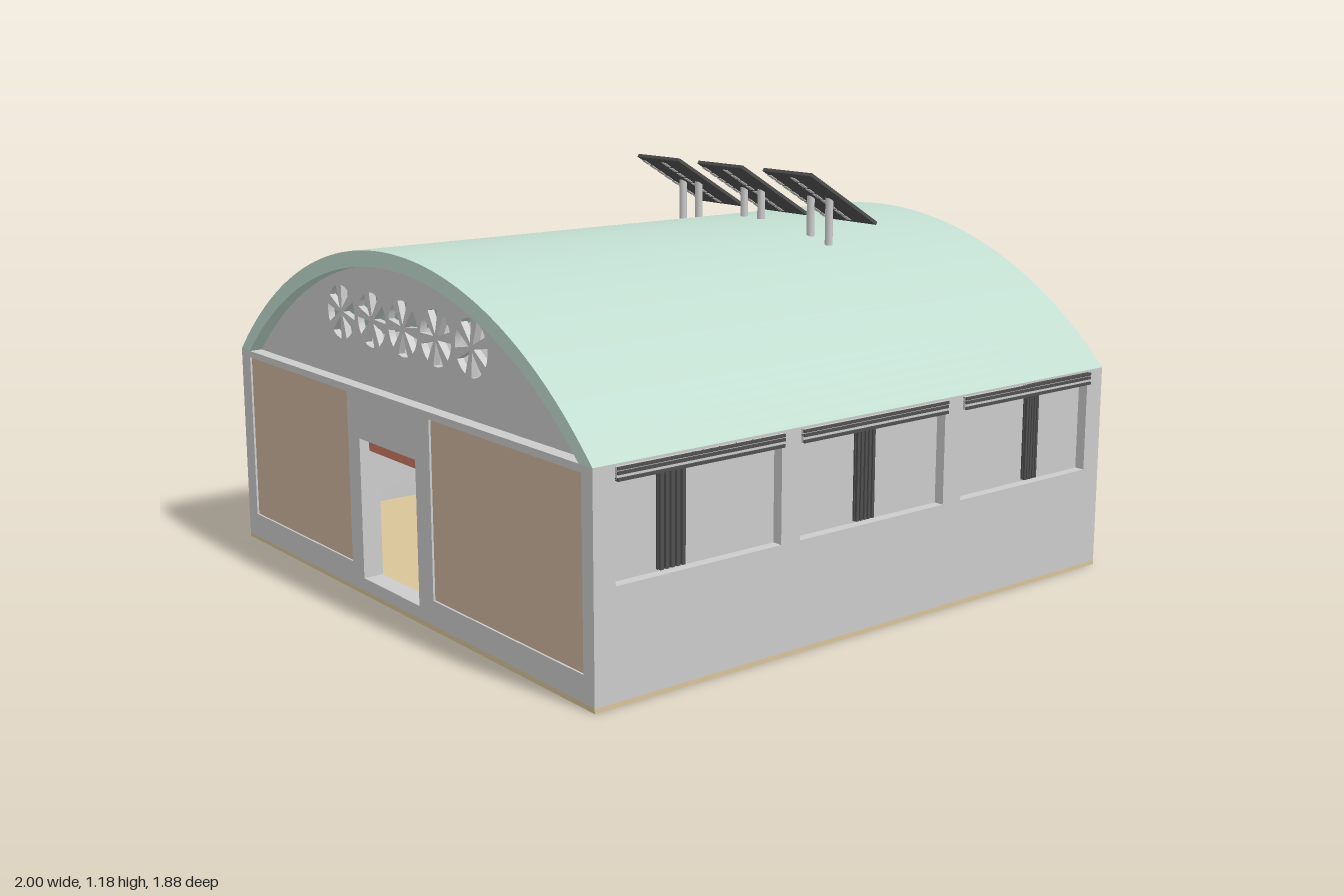
import * as THREE from 'three';
import { toCreasedNormals } from 'three/addons/utils/BufferGeometryUtils.js';

const mat = (color) => new THREE.MeshStandardMaterial({ color });
const grey = mat(0xcccccc), green = mat(0xc0dccf), tan = mat(0xd8c498);
const brown = mat(0xcdb59e), dark = mat(0x505050), red = mat(0xc87862);

const X0 = -1, X1 = 0.85, Z = 0.925, EAVE = 0.605, T = 0.045;

// box given by its min and max corners
function box(name, x0, x1, y0, y1, z0, z1, material = grey) {
  const m = new THREE.Mesh(new THREE.BoxGeometry(x1 - x0, y1 - y0, z1 - z0), material);
  m.position.set((x0 + x1) / 2, (y0 + y1) / 2, (z0 + z1) / 2);
  m.name = name;
  return m;
}

function rect(x0, x1, y0, y1, Type = THREE.Shape) {
  return new Type([[x0, y0], [x1, y0], [x1, y1], [x0, y1]].map((p) => new THREE.Vector2(...p)));
}

function extrude(name, shape, depth, material, curveSegments = 12) {
  const geo = new THREE.ExtrudeGeometry(shape, { depth, bevelEnabled: false, curveSegments });
  const m = new THREE.Mesh(toCreasedNormals(geo, 0.5), material);
  m.name = name;
  return m;
}

// extrusion whose profile lies across the building (profile u = -z), starting at x
function across(name, shape, x, depth, material, segments) {
  const m = extrude(name, shape, depth, material, segments);
  m.rotation.y = Math.PI / 2;
  m.position.x = x;
  return m;
}

// points of a circular arc over the eaves
function arc(half, rise, n = 64) {
  const r = (half * half + rise * rise) / (2 * rise), a = Math.asin(half / r);
  return Array.from({ length: n + 1 }, (_, i) => {
    const t = a - (2 * a * i) / n;
    return new THREE.Vector2(r * Math.sin(t), EAVE + rise - r + r * Math.cos(t));
  });
}

// one wall with three recessed windows, facing +z
function sideWall() {
  const g = new THREE.Group();
  const windows = [[-0.935, -0.41, -0.79, -0.705], [-0.345, 0.185, -0.13, -0.06], [0.255, 0.785, 0.54, 0.595]];
  const shape = rect(X0, X1, 0.012, EAVE);
  windows.forEach(([a, b]) => shape.holes.push(rect(a, b, 0.305, 0.565, THREE.Path)));
  const wall = extrude('sideWall', shape, T, grey);
  wall.position.z = Z - T;
  g.add(wall);
  windows.forEach(([a, b, r0, r1]) => {
    g.add(box('windowPane', a, b, 0.305, 0.565, Z - T, Z - 0.03));
    // ribbed dark shutter
    g.add(box('shutter', r0, r1, 0.31, 0.565, Z - 0.035, Z - 0.025, dark));
    const step = (r1 - r0) / 5;
    for (let i = 0; i < 5; i++) {
      const x = r0 + step * i;
      g.add(box('shutterRib', x + step * 0.2, x + step * 0.8, 0.31, 0.565, Z - 0.03, Z - 0.017, dark));
    }
    // slatted blind box over the opening
    g.add(box('blindBox', a, b, 0.564, 0.599, Z - 0.02, Z + 0.008));
    [0.564, 0.58, 0.591].forEach((y) => g.add(box('blindSlat', a, b, y, y + 0.008, Z, Z + 0.013, dark)));
  });
  return g;
}

// arched gable with five blade-shaped fan openings
function gable(x, turn) {
  const shape = new THREE.Shape(arc(0.885, 0.37));
  for (const u of [-0.345, -0.17, 0, 0.17, 0.345]) {
    for (let k = 0; k < 6; k++) {
      const a = turn + u + (k * Math.PI) / 3, hole = new THREE.Path();
      hole.moveTo(u + 0.012 * Math.cos(a), 0.795 + 0.012 * Math.sin(a));
      for (let i = 0; i <= 6; i++) {
        const t = a - 0.33 + 0.11 * i;
        hole.lineTo(u + 0.078 * Math.cos(t), 0.795 + 0.078 * Math.sin(t));
      }
      shape.holes.push(hole);
    }
  }
  return across('fanGable', shape, x, 0.02, grey);
}

// tilted panel on two posts
function solarPanel(z) {
  const g = new THREE.Group();
  g.name = 'solarPanel';
  const tilt = new THREE.Group();
  tilt.add(box('panelSheet', -0.155, 0.155, -0.005, 0.005, -0.105, 0.105, dark));
  for (const c of [-0.098, 0.003]) {
    for (let i = 0; i < 8; i++) {
      const x = -0.13 + i * 0.035;
      tilt.add(box('panelClip', x, x + 0.026, -0.007, 0.007, c - 0.009, c + 0.009));
    }
  }
  tilt.position.set(0.28, 1.095, 0);
  tilt.rotation.z = -0.543;
  g.add(tilt);
  for (const s of [-0.04, 0.04]) {
    const post = new THREE.Mesh(new THREE.CylinderGeometry(0.012, 0.012, 0.14, 12), grey);
    post.name = 'panelPost';
    post.position.set(0.28, 1.025, s);
    g.add(post);
  }
  g.position.z = z;
  return g;
}

export function createModel() {
  const model = new THREE.Group();
  model.add(box('floor', X0, X1, 0, 0.014, -Z, Z, tan));

  // vaulted roof
  const roof = new THREE.Shape([...arc(Z, 0.4), ...arc(0.87, 0.355).reverse()]);
  model.add(across('roof', roof, X0, X1 - X0, green));
  model.add(gable(X1 - 0.06, 0.3), gable(X0 + 0.04, 0.55));

  // window walls
  const front = sideWall(), back = sideWall();
  front.name = 'frontWall';
  back.name = 'backWall';
  // mirrored copy for the back
  back.scale.z = -1;
  model.add(front, back);

  // plain end wall and entrance wall with panels
  const inner = Z - T;
  model.add(box('endWall', X1 - 0.06, X1, 0.012, EAVE, -Z + 0.001, Z - 0.001));
  const entrance = rect(-Z + 0.001, Z - 0.001, 0.012, EAVE);
  const panels = [[-0.885, -0.19], [0.255, 0.87]];
  panels.forEach(([a, b]) => entrance.holes.push(rect(a, b, 0.085, 0.585, THREE.Path)));
  entrance.holes.push(rect(-0.115, 0.19, 0.05, 0.46, THREE.Path));
  model.add(across('entranceWall', entrance, X0, 0.06, grey));
  panels.forEach(([a, b]) => model.add(box('entrancePanel', X0 + 0.006, X0 + 0.05, 0.085, 0.585, -b, -a, brown)));

  // entrance lintel, inner floor and table
  model.add(box('doorLintel', X0 + 0.03, X0 + 0.12, 0.42, 0.46, -0.19, 0.115, red));
  model.add(box('innerFloor', X0 + 0.06, X1 - 0.06, 0.014, 0.045, -inner, inner, tan));
  model.add(box('tableTop', -0.75, -0.5, 0.23, 0.25, -0.05, 0.35, brown));
  for (const x of [-0.74, -0.53]) for (const z of [-0.04, 0.32]) {
    model.add(box('tableLeg', x, x + 0.02, 0.045, 0.23, z, z + 0.02, brown));
  }

  // wall-mounted unit with pipes
  model.add(box('wallUnit', X1, 1, 0.25, 0.405, -0.067, 0.067));
  const cap = new THREE.Mesh(new THREE.CylinderGeometry(0.12 / Math.SQRT2, 0.148 / Math.SQRT2, 0.04, 4, 1).rotateY(Math.PI / 4), grey);
  cap.geometry = toCreasedNormals(cap.geometry, 0.3);
  cap.scale.z = 0.9;
  cap.position.set(0.925, 0.424, 0);
  cap.name = 'wallUnitCap';
  model.add(cap);
  for (const z of [0.03, -0.012]) {
    const pipe = new THREE.Mesh(new THREE.CylinderGeometry(0.009, 0.009, 0.06, 12), grey);
    pipe.position.set(0.91, 0.465, z);
    pipe.name = 'unitPipe';
    model.add(pipe);
  }

  [-0.295, 0.008, 0.312].forEach((z) => model.add(solarPanel(z)));
  return model;
}
